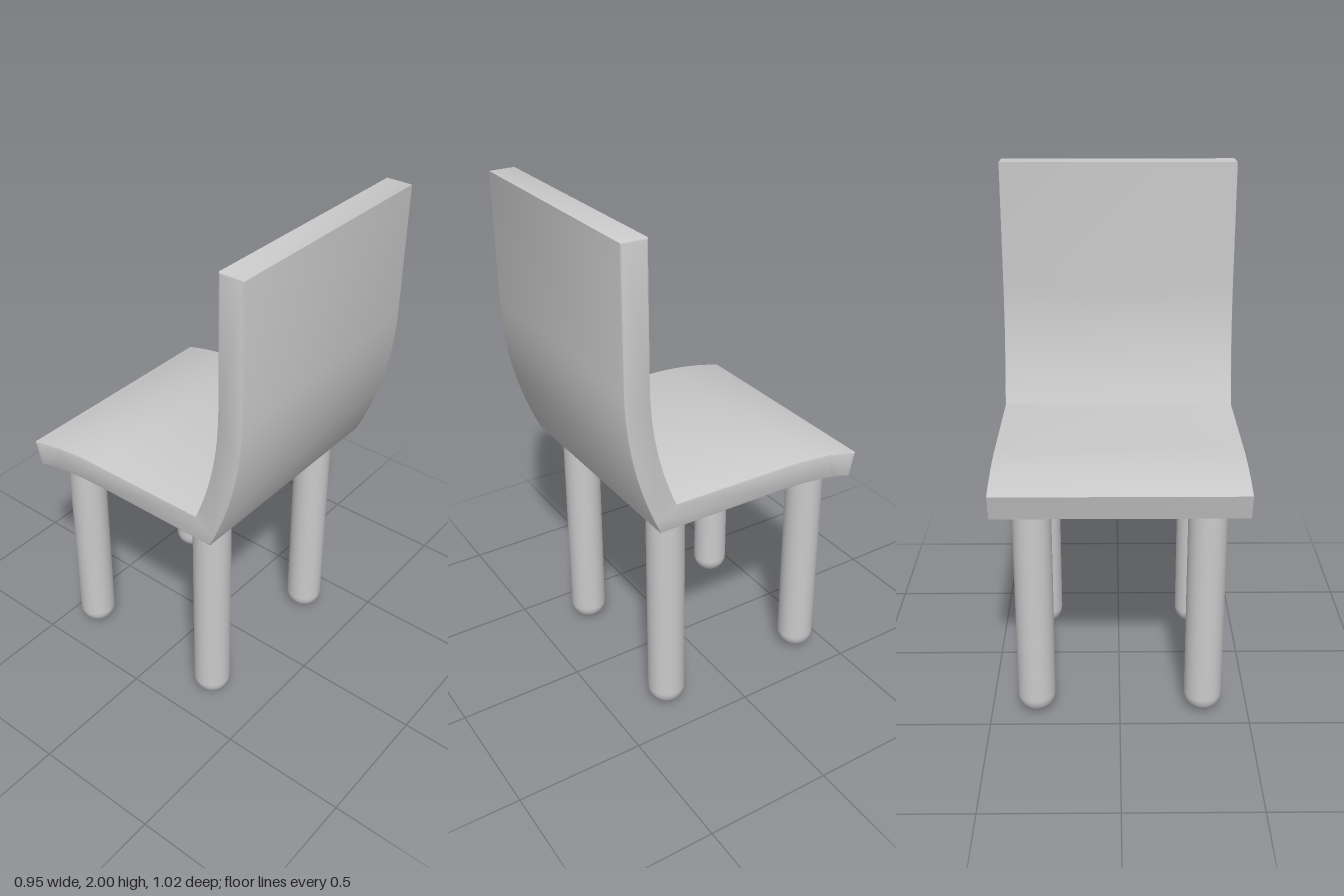
import * as THREE from 'three';
import { toCreasedNormals } from 'three/addons/utils/BufferGeometryUtils.js';

const material = new THREE.MeshStandardMaterial({ color: 0xcccccc });
const WIDTH = 0.95;

// Side profile of the one-piece seat and backrest, drawn as (z, y)
function createShell() {
  const profile = new THREE.Shape();
  profile.moveTo(0.51, 2);
  profile.lineTo(0.41, 2);
  profile.lineTo(0.41, 1.5);
  profile.quadraticCurveTo(0.41, 1.25, 0.31, 1.015);      // front of backrest
  profile.lineTo(-0.17, 1.015);
  profile.quadraticCurveTo(-0.35, 1.015, -0.51, 0.97);    // drooping seat top
  profile.lineTo(-0.485, 0.872);
  profile.quadraticCurveTo(-0.33, 0.915, -0.15, 0.915);   // seat underside
  profile.lineTo(0.375, 0.915);
  profile.quadraticCurveTo(0.51, 1.2, 0.51, 1.5);         // rear of backrest
  profile.closePath();

  const bevel = 0.006;
  const geometry = new THREE.ExtrudeGeometry(profile, {
    depth: WIDTH - 2 * bevel,
    curveSegments: 12,
    bevelThickness: bevel,
    bevelSize: bevel,
    bevelOffset: -bevel,
    bevelSegments: 2,
  });
  geometry.translate(0, 0, bevel - WIDTH / 2);
  geometry.rotateY(-Math.PI / 2);
  const shell = new THREE.Mesh(toCreasedNormals(geometry, 0.5), material);
  shell.name = 'seatAndBackrest';
  return shell;
}

// Round leg with a hemispherical foot; its top is buried in the seat
function createLegGeometry(radius, top) {
  const points = [];
  for (let i = 0; i <= 8; i++) {
    const a = (i / 8) * Math.PI / 2;
    points.push(new THREE.Vector2(radius * Math.sin(a), radius * (1 - Math.cos(a))));
  }
  points.push(new THREE.Vector2(radius, top));
  return new THREE.LatheGeometry(points, 32);
}

export function createModel() {
  const chair = new THREE.Group();
  chair.name = 'chair';
  chair.add(createShell());

  const legGeometry = createLegGeometry(0.073, 0.94);
  for (const [end, z] of [['Front', -0.385], ['Back', 0.265]]) {
    for (const [side, x] of [['left', 0.325], ['right', -0.325]]) {
      const leg = new THREE.Mesh(legGeometry, material);
      leg.name = `${side}${end}Leg`;
      leg.position.set(x, 0, z);
      chair.add(leg);
    }
  }
  return chair;
}
